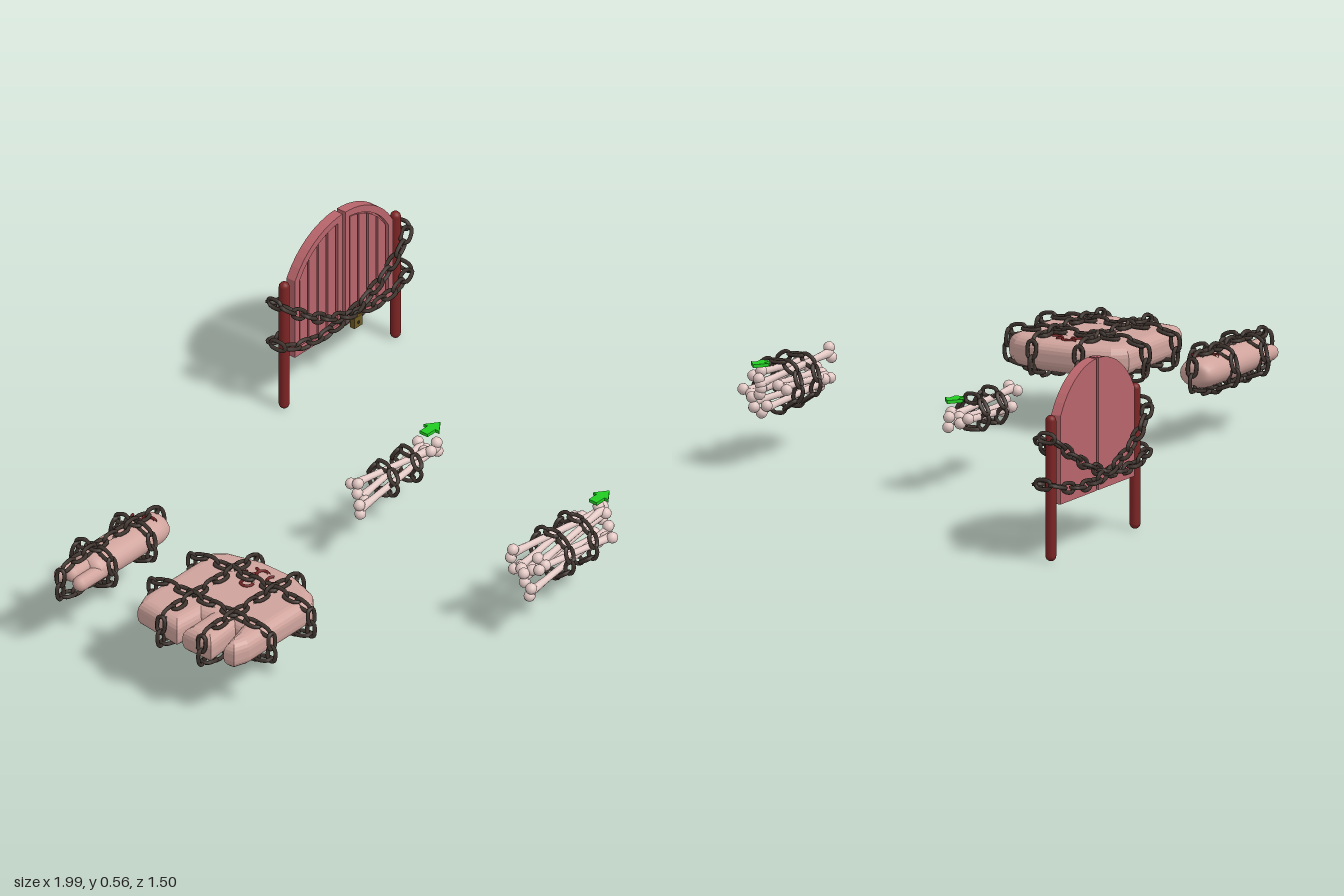
import * as THREE from 'three';
import { mergeGeometries } from 'three/addons/utils/BufferGeometryUtils.js';

const mat = (color) => new THREE.MeshStandardMaterial({ color });
const IRON = mat(0x40352f), FLESH = mat(0xcfa39c), BONE = mat(0xe3c9c5), DOOR = mat(0xb8656b),
  POST = mat(0x7d2424), BRASS = mat(0x6e5a22), GREEN = mat(0x22cc22), RED = mat(0x702222);
const V = (x, y, z) => new THREE.Vector3(x, y, z);

function add(parent, name, geo, material, x = 0, y = 0, z = 0) {
  const m = new THREE.Mesh(geo, material);
  m.name = name;
  m.position.set(x, y, z);
  parent.add(m);
  return m;
}

// One oval chain link, long along x, lying in xy
function linkGeometry(length, width, tube) {
  const r = width / 2 - tube, s = length / 2 - tube - r, pts = [];
  for (const side of [1, -1]) for (let i = 0; i <= 4; i++) {
    const a = -Math.PI / 2 + (i / 4) * Math.PI;
    pts.push(V(side * (s + r * Math.cos(a)), side * r * Math.sin(a), 0));
  }
  return new THREE.TubeGeometry(new THREE.CatmullRomCurve3(pts, true), 20, tube, 5, true);
}

// Closed chain along a loop of points; axis is the normal of the loop
function chain(parent, name, pts, axis, pitch = 0.046) {
  const curve = new THREE.CatmullRomCurve3(pts, true);
  curve.arcLengthDivisions = 600;
  const n = 2 * Math.round(curve.getLength() / pitch / 2);
  const link = linkGeometry(pitch * 1.42, 0.04, 0.0065), parts = [];
  for (let i = 0; i < n; i++) {
    const u = (i + 0.5) / n, t = curve.getTangentAt(u);
    const b = new THREE.Vector3().crossVectors(axis, t).normalize();
    const c = new THREE.Vector3().crossVectors(t, b);
    const m = i % 2 ? new THREE.Matrix4().makeBasis(t, b, c)
      : new THREE.Matrix4().makeBasis(t, c, b.clone().negate());
    parts.push(link.clone().applyMatrix4(m.setPosition(curve.getPointAt(u))));
  }
  add(parent, name, mergeGeometries(parts), IRON);
}

// Rounded loop with half extents a (along x or z) and b (along y)
function loop(along, cx, cy, cz, a, b, power) {
  return Array.from({ length: 40 }, (_, i) => {
    const t = (i / 40) * Math.PI * 2, c = Math.cos(t), s = Math.sin(t);
    const p = a * Math.sign(c) * Math.abs(c) ** power, q = b * Math.sign(s) * Math.abs(s) ** power;
    return along === 'x' ? V(cx + p, cy + q, cz) : V(cx, cy + q, cz + p);
  });
}
const X = V(1, 0, 0), Y = V(0, 1, 0), Z = V(0, 0, 1);

// Gate: two arched leaves between posts, wrapped by two crossing chains
function gate() {
  const g = new THREE.Group(), cx = 0.69, zc = -0.678;
  g.name = 'gate';
  const outline = (Type, x0, x1, y0, inset) => {
    const s = new Type(), top = (x) => 0.31 + Math.sqrt((0.251 - inset) ** 2 - x * x);
    s.moveTo(x0, y0);
    s.lineTo(x1, y0);
    for (let i = 0; i <= 10; i++) {
      const x = x1 + ((x0 - x1) * i) / 10;
      s.lineTo(x, top(x));
    }
    s.closePath();
    return s;
  };
  const slab = (shape, depth) => new THREE.ExtrudeGeometry(shape, { depth, bevelEnabled: false });
  for (const side of [-1, 1]) {
    const span = (a, b) => (side > 0 ? [a, b] : [-b, -a]);
    const name = side > 0 ? 'left' : 'right';
    add(g, name + 'DoorBack', slab(outline(THREE.Shape, ...span(0.006, 0.22), 0.165, 0), 0.018), DOOR, cx, 0, zc - 0.016);
    const frame = outline(THREE.Shape, ...span(0.006, 0.22), 0.165, 0);
    frame.holes.push(outline(THREE.Path, ...span(0.026, 0.2), 0.185, 0.022));
    add(g, name + 'DoorFrame', slab(frame, 0.014), DOOR, cx, 0, zc + 0.002);
    for (let i = 0; i < 4; i++) {
      const x = 0.032 + i * 0.042;
      add(g, name + 'DoorPlank', slab(outline(THREE.Shape, ...span(x, x + 0.034), 0.19, 0.028), 0.009), DOOR, cx, 0, zc + 0.002);
    }
    add(g, name + 'Post', new THREE.CapsuleGeometry(0.016, 0.405, 5, 16), POST, cx + side * 0.25, 0.2185, zc);
  }
  for (const dir of [1, -1]) {
    const pts = loop('z', 0, 0, 0, 0.05, 0.285, 0.6).map((p) => {
      const t = (p.y / 0.285 + 1) / 2;
      const y = 0.235 + 0.14 * (1 - t) ** 2 - 0.18 * t * (1 - t);
      return V(cx + dir * p.y, y, zc + p.z * (dir > 0 ? 1.05 : 0.9));
    });
    chain(g, 'gateChain', pts, Y);
  }
  add(g, 'padlockBody', new THREE.BoxGeometry(0.036, 0.036, 0.018), BRASS, cx, 0.207, -0.615);
  add(g, 'padlockShackle', new THREE.TorusGeometry(0.012, 0.004, 6, 12, Math.PI), IRON, cx, 0.225, -0.615);
  add(g, 'keyhole', new THREE.CylinderGeometry(0.005, 0.005, 0.003, 10).rotateX(Math.PI / 2), IRON, cx, 0.205, -0.605);
  return g;
}

// Small curled dark marks on top of a slab
function curls(g, spots) {
  for (const [x, y, z, turn] of spots) {
    const c = add(g, 'curl', new THREE.TorusGeometry(0.018, 0.005, 6, 14, Math.PI * 1.3), RED, x, y, z);
    c.rotation.set(-Math.PI / 2, 0, turn);
  }
}

// Wide slab with slotted end, bound by four chains
function wideSlab() {
  const g = new THREE.Group(), s = new THREE.Shape();
  g.name = 'wideSlab';
  // Outline as x, z
  [[-0.95, -0.05], [-0.9, -0.07], [-0.6, -0.07], [-0.565, -0.03], [-0.535, 0.08], [-0.535, 0.2], [-0.57, 0.3],
    [-0.61, 0.337], [-0.9, 0.337], [-0.95, 0.32], [-0.955, 0.285], [-0.85, 0.255], [-0.85, 0.24], [-0.97, 0.25],
    [-0.97, 0.14], [-0.87, 0.138], [-0.87, 0.126], [-0.97, 0.118]]
    .forEach(([x, z], i) => (i ? s.lineTo(x, -z) : s.moveTo(x, -z)));
  s.closePath();
  const geo = new THREE.ExtrudeGeometry(s, { depth: 0.024, bevelSize: 0.035, bevelOffset: -0.035, bevelThickness: 0.034, bevelSegments: 5 });
  add(g, 'slabBody', geo.rotateX(-Math.PI / 2), FLESH, 0, 0.216, 0);
  for (const z of [0.06, 0.217]) chain(g, 'longChain', loop('x', -0.753, 0.226, z, 0.222, 0.056, 0.4), Z);
  for (const x of [-0.83, -0.653]) chain(g, 'crossChain', loop('z', x, 0.226, 0.133, 0.23, 0.056, 0.4), X);
  curls(g, [[-0.67, 0.275, 0.13, 1], [-0.61, 0.275, 0.1, 2.2], [-0.605, 0.275, 0.135, -1], [-0.61, 0.275, 0.18, 0.5]]);
  return g;
}

// Narrow rounded block with three fingers at one end
function narrowSlab() {
  const g = new THREE.Group(), cy = 0.23, cz = -0.322;
  g.name = 'narrowSlab';
  const profile = new THREE.SplineCurve([[0, 0], [0.04, 0.004], [0.058, 0.03], [0.063, 0.08], [0.063, 0.27],
    [0.05, 0.33], [0, 0.345]].map((p) => new THREE.Vector2(...p))).getPoints(28);
  profile.forEach((p) => { p.x = Math.max(p.x, 0); });
  const body = new THREE.LatheGeometry(profile, 24).rotateZ(Math.PI / 2).scale(1, 0.74, 1);
  add(g, 'blockBody', body, FLESH, -0.535, cy, cz);
  [-0.036, 0, 0.036].forEach((dz, i) => {
    const f = new THREE.CapsuleGeometry(0.024, 0.13, 6, 12).rotateZ(Math.PI / 2);
    add(g, 'finger', f, FLESH, -0.86 - (i === 1 ? 0 : 0.006), cy + (i === 1 ? 0.012 : -0.004), cz + dz);
  });
  chain(g, 'longChain', loop('x', -0.755, cy, cz, 0.225, 0.056, 0.4), Z);
  for (const x of [-0.83, -0.653]) chain(g, 'ringChain', loop('z', x, cy, cz, 0.073, 0.058, 0.75), X);
  curls(g, [[-0.61, 0.277, cz - 0.02, 1.5], [-0.605, 0.277, cz + 0.02, -1.2]]);
  return g;
}

// Long bone with two knobs at each end, from a to b
function bone(parent, a, b, roll) {
  const dir = b.clone().sub(a), len = dir.length(), parts = [];
  const waist = [[0.014, 0], [0.0105, 0.2], [0.0105, 0.8], [0.014, 1]].map(([r, t]) => new THREE.Vector2(r, (t - 0.5) * len));
  parts.push(new THREE.LatheGeometry(waist, 10));
  for (const end of [-1, 1]) for (const s of [-1, 1])
    parts.push(new THREE.SphereGeometry(0.0175, 12, 8).translate(s * 0.015, (end * len) / 2, 0));
  const m = add(parent, 'bone', mergeGeometries(parts), BONE);
  m.position.addVectors(a, b).multiplyScalar(0.5);
  m.quaternion.setFromUnitVectors(Y, dir.normalize());
  m.rotateY(roll);
}

// Bundle of bones with two chain rings and an arrow above one end
function bundle(name, cy, cz, spots, ring, arrowY) {
  const g = new THREE.Group();
  g.name = name;
  spots.forEach(([y, z], i) => {
    const x0 = -0.06 + (i % 3) * 0.025, x1 = 0.315 - ((i * 2) % 3) * 0.025;
    const k = i % 2 ? 0.012 : -0.012;
    bone(g, V(x0, cy + y + k, cz + z - k), V(x1, cy + y - k, cz + z + k), i * 1.1);
  });
  for (const x of [0.08, 0.185]) chain(g, 'ringChain', loop('z', x, cy, cz, ring, ring, 1), X, 0.043);
  const s = new THREE.Shape();
  [[0.265, -0.015], [0.3, -0.015], [0.3, -0.03], [0.34, 0], [0.3, 0.03], [0.3, 0.015], [0.265, 0.015]]
    .forEach(([x, y], i) => (i ? s.lineTo(x, y) : s.moveTo(x, y)));
  const arrow = new THREE.ExtrudeGeometry(s, { depth: 0.01, bevelEnabled: false }).rotateX(-Math.PI / 2);
  add(g, 'arrow', arrow, GREEN, 0, arrowY, cz - 0.003);
  return g;
}

export function createModel() {
  const model = new THREE.Group();
  model.name = 'chainedSet';
  const six = Array.from({ length: 6 }, (_, i) => [0.047 * Math.sin((i * Math.PI) / 3), 0.047 * Math.cos((i * Math.PI) / 3)]);
  model.add(gate(), wideSlab(), narrowSlab(),
    bundle('smallBoneBundle', 0.22, 0.012, [[-0.014, 0.018], [0.022, 0], [-0.012, -0.02]], 0.045, 0.278),
    bundle('largeBoneBundle', 0.235, 0.663, [[0, 0], ...six], 0.07, 0.314));
  return model;
}
